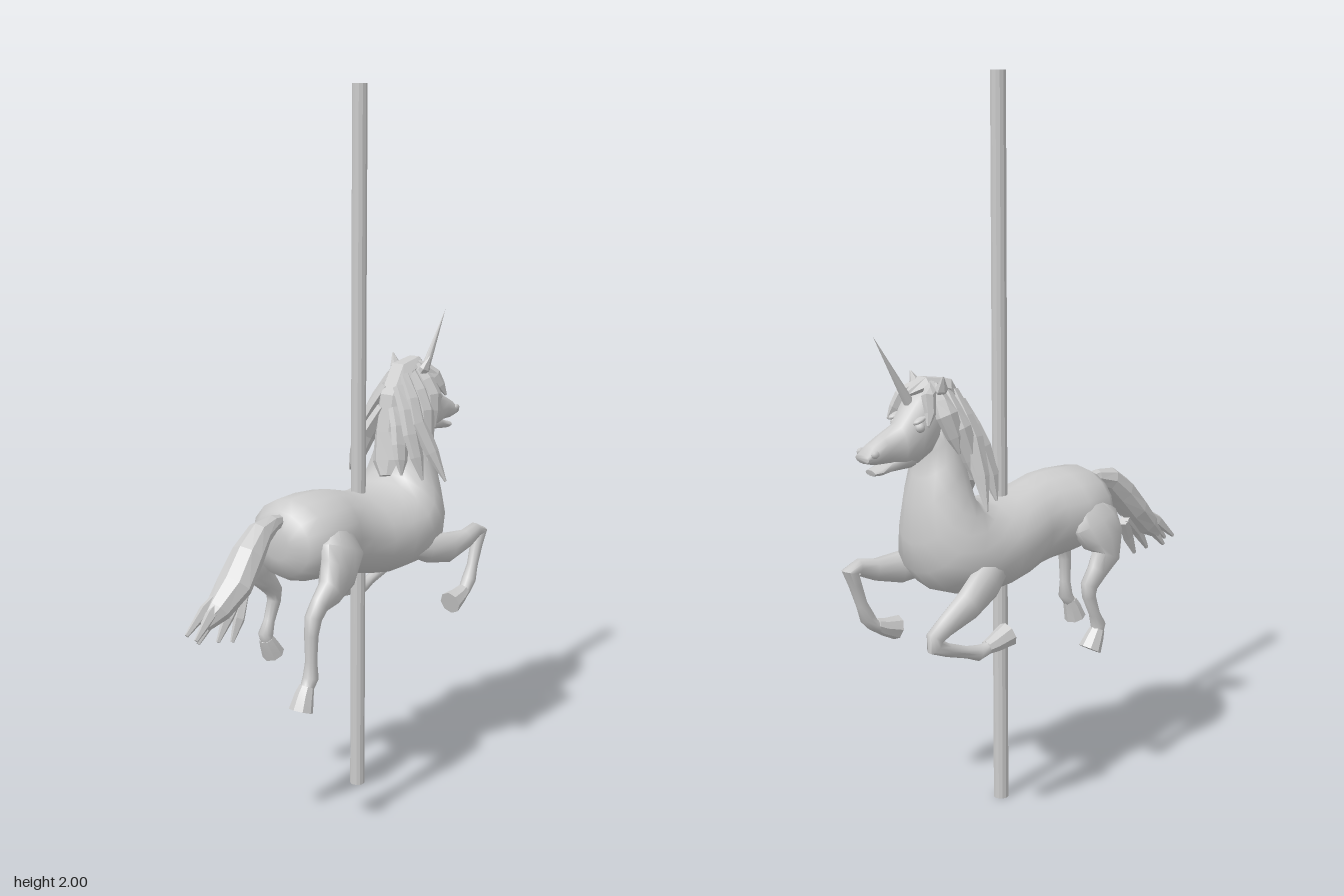
import * as THREE from 'three';
import { toCreasedNormals } from 'three/addons/utils/BufferGeometryUtils.js';

const V = (x, y, z) => new THREE.Vector3(x, y, z);
const smooth = new THREE.MeshStandardMaterial({ color: 0xcccccc });
const flat = new THREE.MeshStandardMaterial({ color: 0xcccccc, flatShading: true });

// Skin a list of rings (equal point counts) and close both ends
function loft(rings, crease = 0.9) {
  const n = rings[0].length, pos = [], idx = [];
  rings.forEach(r => r.forEach(p => pos.push(p.x, p.y, p.z)));
  for (let i = 0; i < rings.length - 1; i++) {
    for (let j = 0; j < n; j++) {
      const a = i * n + j, b = i * n + (j + 1) % n;
      idx.push(a, b, a + n, b, b + n, a + n);
    }
  }
  const last = (rings.length - 1) * n;
  for (let j = 1; j < n - 1; j++) idx.push(0, j + 1, j, last, last + j, last + j + 1);
  const g = new THREE.BufferGeometry();
  g.setAttribute('position', new THREE.Float32BufferAttribute(pos, 3));
  g.setIndex(idx);
  return toCreasedNormals(g, crease);
}

function ring(c, u, v, sides) {
  return Array.from({ length: sides }, (_, j) => {
    const a = (j / sides) * Math.PI * 2;
    return c.clone().addScaledVector(u, Math.cos(a)).addScaledVector(v, Math.sin(a));
  });
}

// Sections [topZ, topY, bottomZ, bottomY, halfWidth], running from rear to front
function trunk(sections, sides) {
  return loft(sections.map(([tz, ty, bz, by, w]) =>
    ring(V(0, (ty + by) / 2, (tz + bz) / 2), V(w, 0, 0), V(0, (by - ty) / 2, (bz - tz) / 2), sides)), 1.2);
}

// Path points [x, y, z, halfWidth, halfDepth]
function limb(points, sides = 8, crease = 0.9) {
  const c = points.map(p => V(p[0], p[1], p[2]));
  return loft(points.map((p, i) => {
    const t = c[Math.min(i + 1, c.length - 1)].clone().sub(c[Math.max(i - 1, 0)]).normalize();
    const s = V(1, 0, 0).addScaledVector(t, -t.x).normalize();
    return ring(c[i], s.clone().multiplyScalar(p[3]), t.cross(s).multiplyScalar(p[4]), sides);
  }), crease);
}

export function createModel() {
  const root = new THREE.Group();
  const add = (name, geo, mat = smooth, parent = root) => {
    const m = new THREE.Mesh(geo, mat);
    m.name = name;
    parent.add(m);
    return m;
  };

  // Carousel pole
  add('pole', new THREE.CylinderGeometry(0.021, 0.021, 2, 12), flat).position.set(0, 1, -0.115);

  // Body curving up into the neck
  add('bodyAndNeck', trunk([
    [0.243, 0.84, 0.24, 0.76, 0.045], [0.225, 0.89, 0.225, 0.71, 0.1],
    [0.18, 0.915, 0.185, 0.69, 0.135], [0.1, 0.918, 0.1, 0.68, 0.142],
    [0.03, 0.915, 0.03, 0.672, 0.126], [-0.03, 0.9, -0.03, 0.66, 0.122],
    [-0.1, 0.882, -0.1, 0.645, 0.146], [-0.17, 0.878, -0.18, 0.632, 0.163],
    [-0.23, 0.888, -0.28, 0.634, 0.165], [-0.25, 0.91, -0.365, 0.665, 0.155],
    [-0.26, 0.94, -0.415, 0.72, 0.135], [-0.265, 0.98, -0.425, 0.8, 0.112],
    [-0.27, 1.03, -0.42, 0.9, 0.088], [-0.275, 1.08, -0.4, 0.97, 0.072],
    [-0.285, 1.14, -0.378, 1.03, 0.06], [-0.31, 1.2, -0.385, 1.07, 0.052],
  ], 16));

  // Head: skull, lower jaw, eyes, nostrils, ears, horn
  const head = new THREE.Group();
  head.name = 'head';
  root.add(head);
  add('skull', trunk([
    [-0.3, 1.2, -0.34, 1.07, 0.035], [-0.355, 1.222, -0.375, 1.03, 0.056],
    [-0.42, 1.19, -0.42, 1.008, 0.06], [-0.468, 1.125, -0.46, 1.008, 0.045],
    [-0.52, 1.1, -0.505, 1.025, 0.036], [-0.555, 1.08, -0.545, 1.028, 0.036],
    [-0.578, 1.06, -0.574, 1.036, 0.028],
  ], 12), smooth, head);
  add('lowerJaw', trunk([
    [-0.42, 1.06, -0.43, 1.004, 0.035], [-0.49, 1.04, -0.49, 1.003, 0.03],
    [-0.53, 1.022, -0.53, 0.998, 0.027], [-0.553, 1.016, -0.549, 1.0, 0.02],
  ], 10), smooth, head);
  const horn = add('horn', new THREE.ConeGeometry(0.017, 0.25, 8), smooth, head);
  const base = V(0, 1.14, -0.405), tip = V(0, 1.353, -0.535);
  horn.position.copy(base).lerp(tip, 0.5);
  horn.quaternion.setFromUnitVectors(V(0, 1, 0), tip.clone().sub(base).normalize());
  for (const s of [1, -1]) {
    const eye = add('eye', new THREE.SphereGeometry(0.013, 10, 8), smooth, head);
    eye.position.set(s * 0.051, 1.115, -0.43);
    const brow = add('brow', new THREE.SphereGeometry(1, 8, 6), smooth, head);
    brow.scale.set(0.012, 0.007, 0.024);
    brow.position.set(s * 0.05, 1.134, -0.43);
    brow.rotation.x = -0.35;
    const nostril = add('nostril', new THREE.SphereGeometry(1, 8, 6), smooth, head);
    nostril.scale.set(0.008, 0.01, 0.013);
    nostril.position.set(s * 0.03, 1.06, -0.557);
    add('ear', limb([
      [s * 0.035, 1.18, -0.355, 0.012, 0.014], [s * 0.052, 1.205, -0.36, 0.014, 0.02],
      [s * 0.066, 1.24, -0.365, 0.002, 0.002],
    ], 6), flat, head);
  }

  // Mane: crest strip with locks [z, y, x] falling to both sides
  const mane = new THREE.Group();
  mane.name = 'mane';
  root.add(mane);
  add('maneCrest', limb([
    [0, 1.195, -0.43, 0.008, 0.008], [0, 1.215, -0.38, 0.032, 0.022],
    [0, 1.2, -0.315, 0.04, 0.03], [0, 1.13, -0.268, 0.042, 0.026],
    [0, 1.03, -0.248, 0.04, 0.024], [0.01, 0.95, -0.23, 0.045, 0.02], [0.02, 0.91, -0.215, 0.02, 0.01],
  ], 6), flat, mane);
  const locks = [
    [[-0.37, 1.215, 0.015], [-0.405, 1.18, 0.055], [-0.435, 1.12, 0.075]],
    [[-0.36, 1.21, 0.02], [-0.365, 1.13, 0.08], [-0.35, 1.04, 0.095]],
    [[-0.33, 1.2, 0.02], [-0.325, 1.09, 0.085], [-0.3, 0.95, 0.11]],
    [[-0.3, 1.19, 0.02], [-0.285, 1.06, 0.085], [-0.315, 0.895, 0.16]],
    [[-0.275, 1.16, 0.02], [-0.255, 1.03, 0.082], [-0.25, 0.905, 0.125]],
    [[-0.255, 1.1, 0.02], [-0.232, 1.0, 0.06], [-0.21, 0.92, 0.08]],
  ];
  for (const s of [1, -1]) {
    locks.forEach(([a, b, c], i) => {
      const k = i ? 1 : 0.6, d = s < 0 ? 0.012 : 0;
      add('maneLock', limb([
        [s * a[2], a[1], a[0], 0.016, 0.02 * k],
        [s * (a[2] + b[2]) * 0.56, (a[1] + b[1]) / 2, (a[0] + b[0]) / 2, 0.018, 0.03 * k],
        [s * b[2], b[1] + d, b[0], 0.017, 0.034 * k],
        [s * (b[2] + c[2]) * 0.5, (b[1] + c[1]) / 2, (b[0] + c[0]) / 2 + d, 0.014, 0.026 * k],
        [s * c[2], c[1], c[0] + d, 0.003, 0.004],
      ], 6), flat, mane);
    });
  }

  // Tail: thick plume ending in loose strands
  const tail = new THREE.Group();
  tail.name = 'tail';
  root.add(tail);
  add('tailPlume', limb([
    [0, 0.865, 0.215, 0.012, 0.015], [0.002, 0.865, 0.26, 0.022, 0.024],
    [0.006, 0.85, 0.315, 0.034, 0.036], [0.013, 0.805, 0.37, 0.045, 0.044],
    [0.018, 0.74, 0.43, 0.052, 0.042], [0.01, 0.685, 0.485, 0.036, 0.035], [0.004, 0.65, 0.53, 0.012, 0.018],
  ], 8), flat, tail);
  [[-0.014, 0.635, 0.577], [0.012, 0.625, 0.57], [0.0, 0.61, 0.55], [0.022, 0.605, 0.5], [0.03, 0.595, 0.455]]
    .forEach(([x, y, z], i) => add('tailStrand', limb([
      [0.012, 0.75 - i * 0.01, 0.42 - i * 0.008, 0.016, 0.018],
      [x * 0.8 + 0.006, y + 0.055, z - 0.06 + i * 0.008, 0.014, 0.018],
      [x, y, z, 0.005, 0.006],
    ], 5), flat, tail));

  // Legs: each path ends at the pastern, the hoof continues from there
  const leg = (name, x, path, hoof) => {
    const g = new THREE.Group();
    g.name = name;
    root.add(g);
    const place = ([y, z, w, d, dx = 0]) => [x + Math.sign(x) * dx, y, z, w, d];
    add('limb', limb(path.map(place), 10, 1.1), smooth, g);
    add('hoof', limb(hoof.map(place), 8, 0.6), smooth, g);
  };
  leg('leftForeleg', 0.152, [
    [0.715, -0.215, 0.02, 0.025, -0.04], [0.705, -0.27, 0.036, 0.045, -0.025], [0.69, -0.35, 0.036, 0.044, -0.006],
    [0.698, -0.43, 0.027, 0.03], [0.715, -0.485, 0.023, 0.023], [0.708, -0.51, 0.023, 0.024],
    [0.67, -0.495, 0.019, 0.018], [0.61, -0.475, 0.016, 0.016], [0.57, -0.458, 0.021, 0.021],
    [0.545, -0.438, 0.019, 0.017], [0.535, -0.42, 0.02, 0.018],
  ], [[0.543, -0.43, 0.02, 0.018], [0.532, -0.405, 0.025, 0.024], [0.52, -0.36, 0.033, 0.034]]);
  leg('rightForeleg', -0.152, [
    [0.73, -0.23, 0.025, 0.04, -0.03], [0.7, -0.29, 0.036, 0.052, -0.012], [0.655, -0.365, 0.035, 0.042],
    [0.615, -0.44, 0.026, 0.028], [0.592, -0.475, 0.023, 0.024], [0.572, -0.475, 0.023, 0.024],
    [0.552, -0.435, 0.019, 0.018], [0.53, -0.37, 0.016, 0.016], [0.518, -0.33, 0.021, 0.021],
    [0.522, -0.305, 0.019, 0.017], [0.528, -0.29, 0.02, 0.018],
  ], [[0.525, -0.3, 0.02, 0.018], [0.53, -0.275, 0.025, 0.024], [0.545, -0.225, 0.033, 0.034]]);
  leg('leftHindLeg', 0.148, [
    [0.83, 0.11, 0.02, 0.05, -0.035], [0.785, 0.12, 0.04, 0.085, -0.02], [0.73, 0.15, 0.038, 0.075, -0.012],
    [0.69, 0.2, 0.032, 0.045], [0.665, 0.245, 0.024, 0.028], [0.635, 0.27, 0.023, 0.024],
    [0.59, 0.278, 0.019, 0.019], [0.52, 0.279, 0.016, 0.016], [0.475, 0.281, 0.021, 0.022],
    [0.455, 0.295, 0.019, 0.018], [0.445, 0.303, 0.02, 0.018],
  ], [[0.455, 0.298, 0.021, 0.02], [0.435, 0.308, 0.026, 0.025], [0.395, 0.322, 0.033, 0.032]]);
  leg('rightHindLeg', -0.145, [
    [0.83, 0.12, 0.02, 0.05, -0.035], [0.785, 0.125, 0.04, 0.08, -0.02], [0.73, 0.15, 0.038, 0.07, -0.01],
    [0.685, 0.15, 0.032, 0.05], [0.645, 0.115, 0.026, 0.032], [0.61, 0.085, 0.023, 0.026],
    [0.58, 0.085, 0.019, 0.02], [0.525, 0.107, 0.016, 0.016], [0.49, 0.122, 0.021, 0.022],
    [0.472, 0.118, 0.019, 0.018], [0.465, 0.113, 0.02, 0.018],
  ], [[0.478, 0.12, 0.021, 0.02], [0.46, 0.11, 0.026, 0.025], [0.425, 0.09, 0.033, 0.032]]);

  return root;
}
